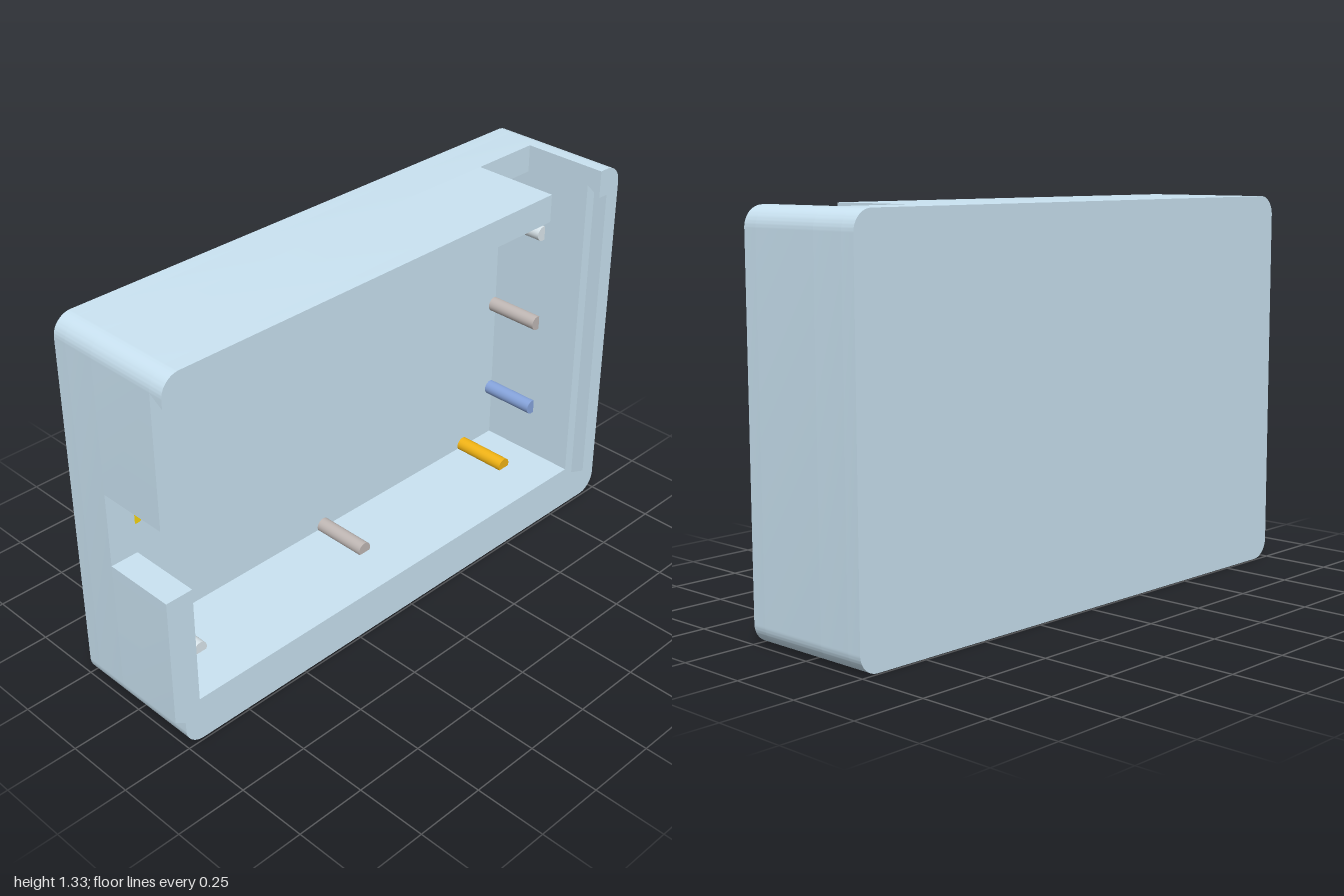
import * as THREE from 'three';
import { toCreasedNormals } from 'three/addons/utils/BufferGeometryUtils.js';

const H = 1.333, R = 0.067;            // height, outer corner radius
const IN = 0.9, LO = 0.1, HI = 1.235;  // cavity limits
const BACK = -0.242, FLOOR = -0.19, CUT = -0.07, LEDGE = 0.19, FRONT = 0.242;
const GROOVE = 0.033;                  // undercut of the lid groove

// Clockwise outline; points on the four outer corners are rounded.
function outline(points) {
  const shape = new THREE.Shape();
  points.forEach(([x, y], i) => {
    const go = (px, py) => (i === 0 ? shape.moveTo(px, py) : shape.lineTo(px, py));
    if (Math.abs(x) === 1 && (y === 0 || y === H)) {
      const start = x < 0 ? (y ? Math.PI : -Math.PI / 2) : (y ? Math.PI / 2 : 0);
      const cx = x * (1 - R), cy = y ? H - R : R;
      go(cx + R * Math.cos(start), cy + R * Math.sin(start));
      shape.absarc(cx, cy, R, start, start - Math.PI / 2, true);
    } else go(x, y);
  });
  return shape;
}

export function createModel() {
  const model = new THREE.Group();
  const shell = new THREE.MeshStandardMaterial({ color: 0xcae3f2 });

  function slab(name, shape, z0, z1, undercut = false) {
    const geo = new THREE.ExtrudeGeometry(shape, { depth: z1 - z0, bevelEnabled: false, curveSegments: 10 });
    if (undercut) {
      // widen the rear of the lip into a sloping lid groove
      const p = geo.attributes.position;
      for (let i = 0; i < p.count; i++) {
        if (p.getZ(i) > 1e-4) continue;
        if (Math.abs(p.getY(i) - LO) < 1e-4) p.setY(i, LO - GROOVE);
        if (Math.abs(p.getY(i) - HI) < 1e-4) p.setY(i, HI + GROOVE - 0.002);
      }
    }
    const mesh = new THREE.Mesh(toCreasedNormals(geo, 0.5), shell);
    mesh.name = name;
    mesh.position.z = z0;
    model.add(mesh);
  }

  // Back panel and the unbroken part of the walls
  const full = [[-1, H], [1, H], [1, 0], [-1, 0]];
  slab('backPanel', outline(full), BACK, FLOOR);
  const ring = outline(full);
  ring.holes.push(new THREE.Path([[-IN, LO], [IN, LO], [IN, HI], [-IN, HI]].map(([x, y]) => new THREE.Vector2(x, y))));
  slab('lowerWalls', ring, FLOOR, CUT);

  // Walls interrupted by the side and top cutouts
  slab('upperWallsTop', outline([[-1, 0.8], [-1, H], [0.64, H], [0.64, HI], [-IN, HI], [-IN, 0.8]]), CUT, LEDGE);
  slab('upperWallsBottom', outline([[IN, H], [1, H], [1, 0], [-1, 0], [-1, 0.535], [-IN, 0.535], [-IN, LO], [IN, LO]]), CUT, LEDGE);

  // Front lips, open at one end for a sliding lid
  slab('topLip', outline([[-1, HI], [-1, H], [0.64, H], [0.64, HI]]), LEDGE, FRONT, true);
  slab('bottomLip', outline([[IN, H], [1, H], [1, 0], [-1, 0], [-1, LO], [0.94, LO], [0.94, HI], [IN, HI]]), LEDGE, FRONT, true);

  // Support pins half sunk into the walls; two are shortened by the cutouts
  const light = 0xdce8ee, grey = 0xc0b8b5, blue = 0x86a4dc, yellow = 0xf8d610, orange = 0xf2b414;
  const px = IN - 0.01, top = HI - 0.01, bottom = LO + 0.012, end = 0.02, short = CUT - 0.001;
  const pins = [
    [-px, 1.028, light, end], [-px, 0.667, yellow, short], [-px, 0.306, grey, end],
    [px, 1.028, light, end], [px, 0.667, grey, end], [px, 0.306, blue, end],
    [-0.752, top, grey, end], [0, top, grey, end], [0.743, top, blue, short],
    [-0.752, bottom, light, end], [0, bottom, grey, end], [0.743, bottom, orange, end],
  ];
  for (const [x, y, color, z1] of pins) {
    const z0 = FLOOR - 0.01;
    const geo = new THREE.CylinderGeometry(0.027, 0.027, z1 - z0, 24).rotateX(Math.PI / 2);
    const pin = new THREE.Mesh(geo, new THREE.MeshStandardMaterial({ color }));
    pin.name = 'supportPin';
    pin.position.set(x, y, (z0 + z1) / 2);
    model.add(pin);
  }
  return model;
}
